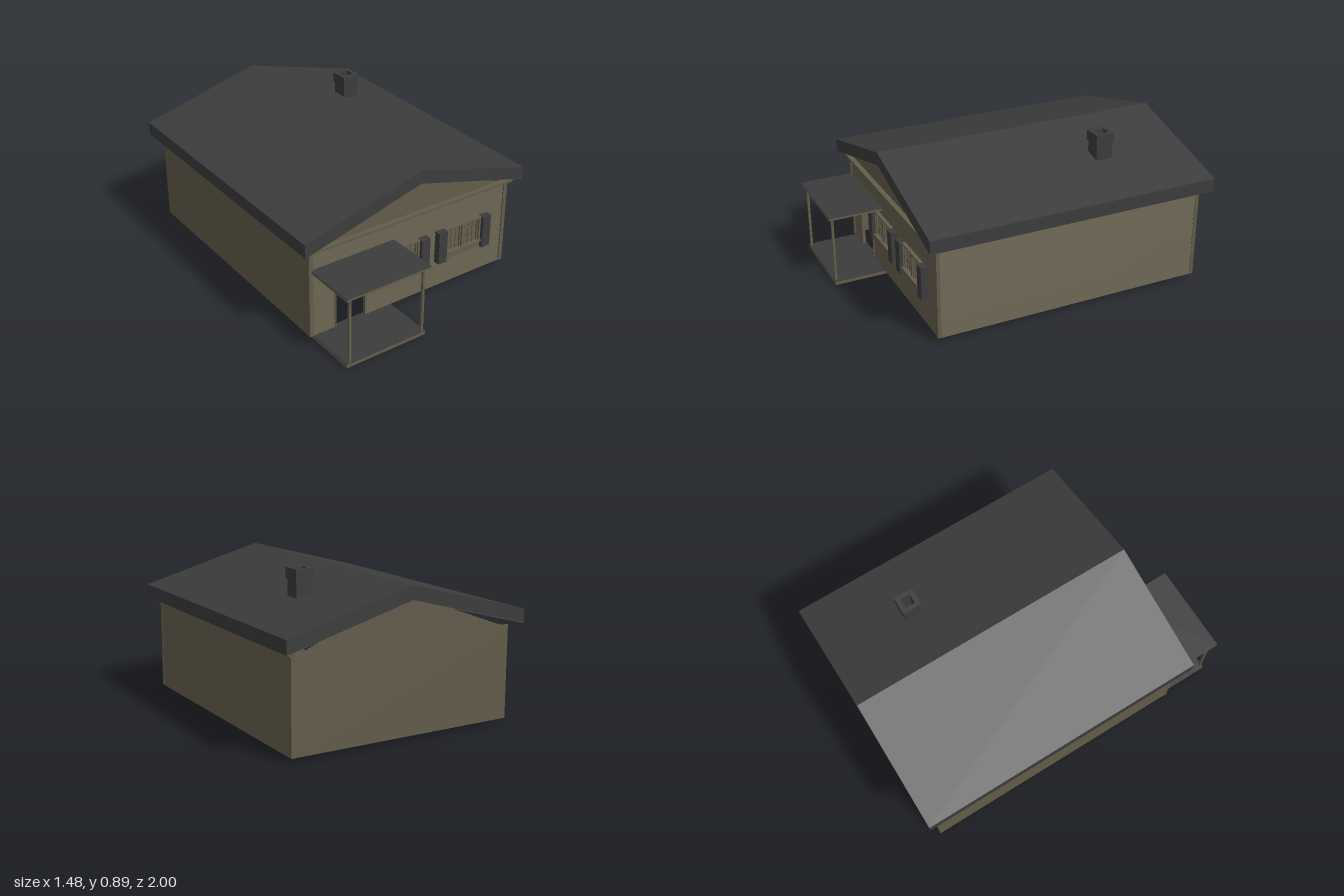
import * as THREE from 'three';

const paint = (name, color, double) => {
  const m = new THREE.MeshStandardMaterial({ color });
  m.name = name;
  if (double) m.side = THREE.DoubleSide;
  return m;
};

export function createModel() {
  const house = new THREE.Group();
  house.name = 'house';
  const olive = paint('oliveWall', 0x635c4a, true);
  const dark = paint('darkSlate', 0x3c3c3c);

  const add = (name, geo, mat, parent = house) => {
    const mesh = new THREE.Mesh(geo, mat);
    mesh.name = name;
    parent.add(mesh);
    return mesh;
  };
  // box given by its low and high corners
  const box = (name, x0, x1, y0, y1, z0, z1, mat = olive, parent = house) => {
    const mesh = add(name, new THREE.BoxGeometry(x1 - x0, y1 - y0, z1 - z0), mat, parent);
    mesh.position.set((x0 + x1) / 2, (y0 + y1) / 2, (z0 + z1) / 2);
    return mesh;
  };
  const outline = (pts) => new THREE.Shape(pts.map(([x, y]) => new THREE.Vector2(x, y)));
  const extrude = (shape, depth) => new THREE.ExtrudeGeometry(shape, { depth, bevelEnabled: false });

  // walls: open shell without a floor or ceiling
  const base = 0.025, top = 0.545;
  const front = outline([[-0.68, base], [-0.51, base], [-0.51, 0.36], [-0.32, 0.36],
    [-0.32, base], [0.675, base], [0.675, 0.56], [-0.68, 0.56]]);
  add('frontWall', extrude(front, 0.006), olive).position.z = 0.666;
  const gable = () => new THREE.ShapeGeometry(outline([[-0.63, 0.56], [0.63, 0.56], [0, 0.8]]));
  add('frontGable', gable(), olive).position.z = 0.675;
  const backGable = add('backGable', gable(), olive);
  backGable.rotation.y = Math.PI;
  backGable.position.z = -0.937;
  box('backWall', -0.68, 0.675, base, 0.56, -0.94, -0.934);
  box('rightWall', -0.68, -0.674, base, top, -0.94, 0.67);
  box('leftWall', 0.669, 0.675, base, top, -0.94, 0.67);

  // clapboard siding: sawtooth section run along a wall
  const rows = 17, pitch = (top - base) / rows;
  const siding = (from, length) => {
    const pts = [[0, base + from * pitch]];
    for (let i = from; i < rows; i++) {
      pts.push([0.009, base + i * pitch], [0.001, base + (i + 1) * pitch]);
    }
    pts.push([0, top]);
    return extrude(outline(pts), length);
  };
  add('leftSiding', siding(0, 1.6), olive).position.set(0.675, 0, -0.935);
  for (const [x0, x1, from] of [[-0.66, -0.51, 0], [-0.51, -0.32, 11], [-0.32, 0.66, 0]]) {
    const s = add('frontSiding', siding(from, x1 - x0), olive);
    s.rotation.y = -Math.PI / 2;
    s.position.set(x1, 0, 0.672);
  }

  // corner boards and the ledge under the gable
  for (const s of [-1, 1]) {
    const a = s * 0.657, b = s * 0.682;
    box('cornerBoard', Math.min(a, b), Math.max(a, b), base, 0.55, 0.665, 0.685);
  }
  box('backCornerBoard', 0.67, 0.684, base, top, -0.942, -0.92);
  box('gableLedge', -0.7, 0.7, 0.55, 0.565, 0.67, 0.705);

  // roof: folded slab with a pale underside
  const chevron = (x, ye, yr, t) => outline([[-x, ye], [0, yr], [x, ye], [x, ye + t], [0, yr + t], [-x, ye + t]]);
  add('roof', extrude(chevron(0.74, 0.572, 0.772, 0.078), 1.74), dark).position.z = -1;
  add('roofUnderside', extrude(chevron(0.738, 0.57, 0.77, 0.003), 1.736), olive).position.z = -0.998;

  // chimney: hollow square shaft with a wider cap
  const squareTube = (w, d, hole, height) => {
    const s = outline([[-w, -d], [w, -d], [w, d], [-w, d]]);
    s.holes.push(outline([[-hole, -hole], [-hole, hole], [hole, hole], [hole, -hole]]));
    return extrude(s, height).rotateX(-Math.PI / 2);
  };
  const chimney = new THREE.Group();
  chimney.name = 'chimney';
  chimney.position.set(0.362, 0, -0.468);
  house.add(chimney);
  add('chimneyShaft', squareTube(0.048, 0.05, 0.03, 0.19), dark, chimney).position.y = 0.65;
  add('chimneyCap', squareTube(0.055, 0.058, 0.03, 0.06), dark, chimney).position.y = 0.835;

  // porch: deck, canopy and two posts
  box('porchDeck', -0.655, -0.137, 0, 0.02, 0.655, 0.985);
  box('porchDeckTop', -0.655, -0.137, 0.02, 0.023, 0.655, 0.985, dark);
  box('porchRoof', -0.667, -0.127, 0.424, 0.437, 0.655, 1);
  box('porchRoofTop', -0.667, -0.127, 0.437, 0.44, 0.655, 1, dark);
  for (const x of [-0.632, -0.158]) box('porchPost', x - 0.007, x + 0.007, 0.02, 0.426, 0.968, 0.982);

  // door frame
  box('doorFrameTop', -0.517, -0.313, 0.355, 0.362, 0.664, 0.684);
  for (const x of [-0.514, -0.316]) box('doorFrameSide', x - 0.004, x + 0.004, base, 0.36, 0.664, 0.684);

  // windows: casing, two sashes with glazing bars, sill and shutters
  for (const cx of [-0.09, 0.354]) {
    const win = new THREE.Group();
    win.name = 'window';
    win.position.x = cx;
    house.add(win);
    const part = (name, x, w, y0, y1, z1, mat) => box(name, x - w / 2, x + w / 2, y0, y1, 0.67, z1, mat, win);
    part('pane', 0, 0.25, 0.23, 0.38, 0.683);
    part('windowHead', 0, 0.26, 0.378, 0.388, 0.7);
    part('windowSill', 0, 0.264, 0.228, 0.238, 0.71);
    part('windowApron', 0, 0.26, 0.19, 0.228, 0.695);
    part('centrePost', 0, 0.018, 0.238, 0.378, 0.698);
    for (const s of [-1, 1]) {
      part('windowJamb', s * 0.123, 0.012, 0.238, 0.378, 0.7);
      part('shutter', s * 0.16, 0.058, 0.19, 0.388, 0.717, dark);
      for (const x of [0.018, 0.11]) part('sashStile', s * x, 0.008, 0.238, 0.378, 0.693);
      for (const x of [0.047, 0.078]) part('verticalBar', s * x, 0.004, 0.238, 0.378, 0.688);
      for (const y of [0.272, 0.308, 0.344]) part('crossBar', s * 0.062, 0.1, y - 0.002, y + 0.002, 0.688);
    }
  }
  return house;
}
